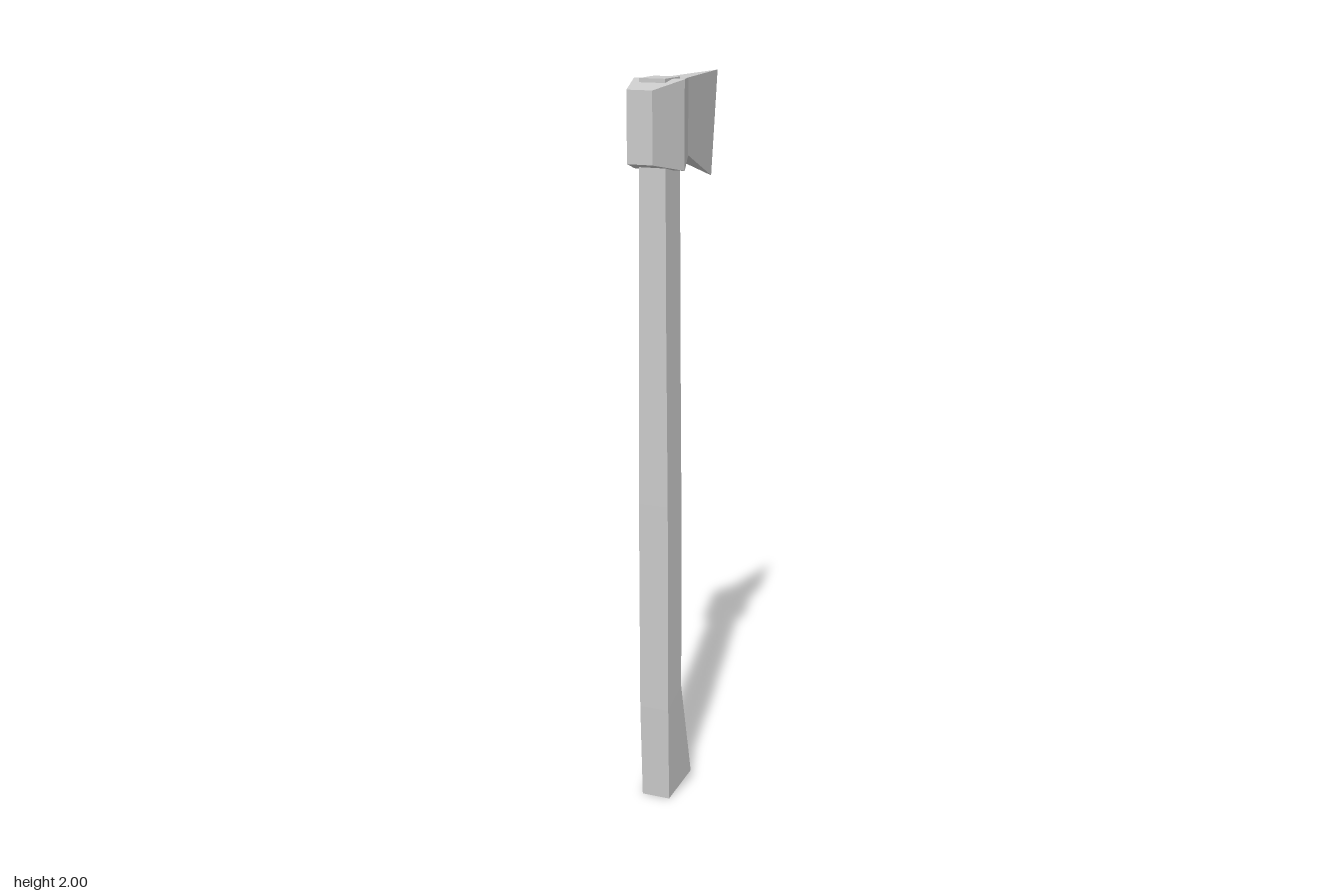
import * as THREE from 'three';

// Faceted solid through four-cornered rings, each ordered counter-clockwise about the travel direction
function loft(name, rings) {
  const pos = [];
  const tri = (a, b, c) => {
    const [A, B, C] = [a, b, c].map((p) => new THREE.Vector3(...p));
    if (B.sub(A).cross(C.sub(A)).length() > 1e-9) pos.push(...a, ...b, ...c);
  };
  const quad = (a, b, c, d) => { tri(a, b, c); tri(a, c, d); };
  for (let i = 0; i < rings.length - 1; i++) {
    const r = rings[i], s = rings[i + 1];
    for (let j = 0; j < 4; j++) {
      const k = (j + 1) % 4;
      quad(r[j], r[k], s[k], s[j]);
    }
  }
  quad(...[...rings[0]].reverse());
  quad(...rings[rings.length - 1]);
  const geo = new THREE.BufferGeometry();
  geo.setAttribute('position', new THREE.Float32BufferAttribute(pos, 3));
  geo.computeVertexNormals();
  const mesh = new THREE.Mesh(geo, new THREE.MeshStandardMaterial({ color: 0xcccccc, flatShading: true }));
  mesh.name = name;
  return mesh;
}

// Handle ring: half width, front y and z, back y and z
const handleRing = ([w, yf, zf, yb, zb]) => [[-w, yf, zf], [w, yf, zf], [w, yb, zb], [-w, yb, zb]];
// Head ring: half width, bottom y and z, top y and z
const headRing = ([w, y0, z0, y1, z1]) => [[-w, y0, z0], [-w, y1, z1], [w, y1, z1], [w, y0, z0]];

export function createModel() {
  const group = new THREE.Group();
  group.name = 'axe';

  // Straight shaft with a flared, kicked-back grip
  group.add(loft('handle', [
    [0.041, 0, 0.168, 0.024, 0.018],
    [0.043, 0.27, 0.177, 0.31, 0.089],
    [0.043, 0.86, 0.178, 0.86, 0.088],
    [0.0395, 1.36, 0.178, 1.36, 0.087],
    [0.037, 2, 0.176, 2, 0.084],
  ].map(handleRing)));

  // Blunt poll, wide eye, narrow neck, then the wedge to the cutting edge
  group.add(loft('head', [
    [0.036, 1.788, 0.252, 1.976, 0.252],
    [0.072, 1.763, 0.132, 1.997, 0.132],
    [0.032, 1.79, 0.02, 1.993, 0.02],
    [0, 1.71, -0.208, 1.996, -0.25],
  ].map(headRing)));

  return group;
}
